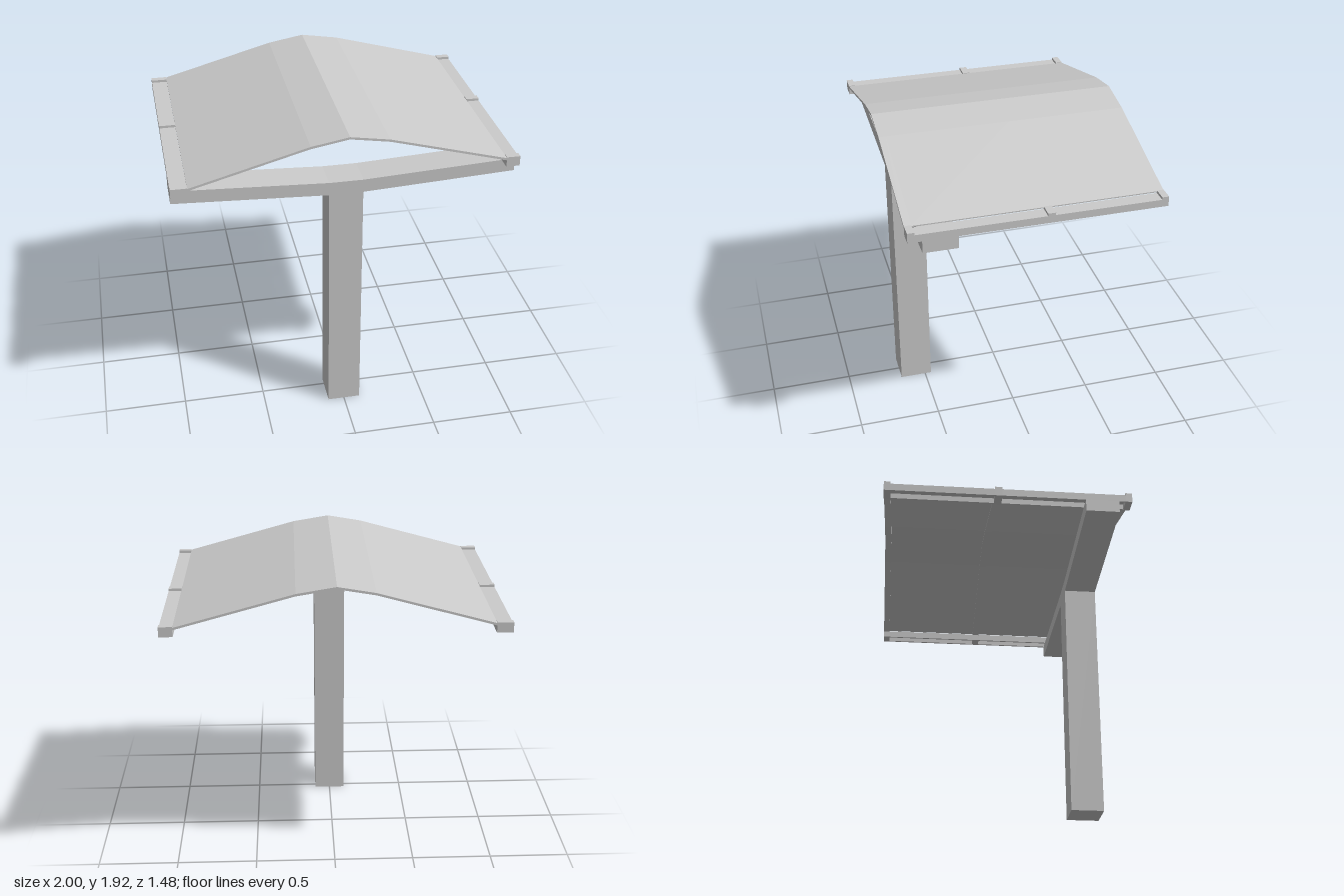
import * as THREE from 'three';

const material = new THREE.MeshStandardMaterial({ color: 0xcccccc, flatShading: true });

// Prism: an outline in x/y swept from z0 to z1
function prism(name, points, z0, z1) {
  const shape = new THREE.Shape(points.map(([x, y]) => new THREE.Vector2(x, y)));
  const geometry = new THREE.ExtrudeGeometry(shape, { depth: z1 - z0, bevelEnabled: false });
  geometry.translate(0, 0, z0);
  const mesh = new THREE.Mesh(geometry, material);
  mesh.name = name;
  return mesh;
}

// Box given by its limits
function box(name, x0, x1, y0, y1, z0, z1) {
  const mesh = new THREE.Mesh(new THREE.BoxGeometry(x1 - x0, y1 - y0, z1 - z0), material);
  mesh.position.set((x0 + x1) / 2, (y0 + y1) / 2, (z0 + z1) / 2);
  mesh.name = name;
  return mesh;
}

const roofLine = [[-0.905, 1.692], [-0.22, 1.88], [0, 1.918], [0.23, 1.88], [0.92, 1.69]];

// Closed outline of a sheet hanging below the roof line
function sheet(thickness) {
  const under = roofLine.map(([x, y]) => [x, y - thickness]).reverse();
  return [...under, ...roofLine];
}

export function createModel() {
  const model = new THREE.Group();

  // Post and the tapering cross beam on top of it
  model.add(box('post', -0.1, 0.1, 0, 1.53, 0.46, 0.66));
  model.add(prism('crossBeam', [
    [-1, 1.56], [-0.1, 1.515], [0.1, 1.515], [1, 1.56],
    [1, 1.64], [0.1, 1.595], [-0.1, 1.595], [-1, 1.64],
  ], 0.46, 0.66));

  const ribs = [[-0.74, -0.7], [-0.083, -0.038], [0.7, 0.74]];
  const bays = [[-0.7, -0.083], [-0.038, 0.7]];

  // Roof: thin panels between deeper ribs
  const roof = new THREE.Group();
  roof.name = 'roof';
  for (const [z0, z1] of ribs) roof.add(prism('roofRib', sheet(0.014), z0, z1));
  for (const [z0, z1] of bays) roof.add(prism('roofPanel', sheet(0.007), z0, z1));
  model.add(roof);

  // Side rails: solid blocks at the ribs, hollow channels open below in between
  for (const [name, x0, x1] of [['rightRail', -1, -0.905], ['leftRail', 0.92, 1]]) {
    const rail = new THREE.Group();
    rail.name = name;
    const wall = 0.012;
    const outerFirst = x0 < 0;
    for (const [z0, z1] of ribs) rail.add(box('railBlock', x0, x1, 1.635, 1.695, z0, z1));
    for (const [z0, z1] of bays) {
      rail.add(box('railTop', x0, x1, 1.668, 1.68, z0, z1));
      rail.add(box(outerFirst ? 'outerWall' : 'innerWall', x0, x0 + wall, 1.635, 1.668, z0, z1));
      rail.add(box(outerFirst ? 'innerWall' : 'outerWall', x1 - wall, x1, 1.635, 1.668, z0, z1));
    }
    model.add(rail);
  }

  return model;
}
